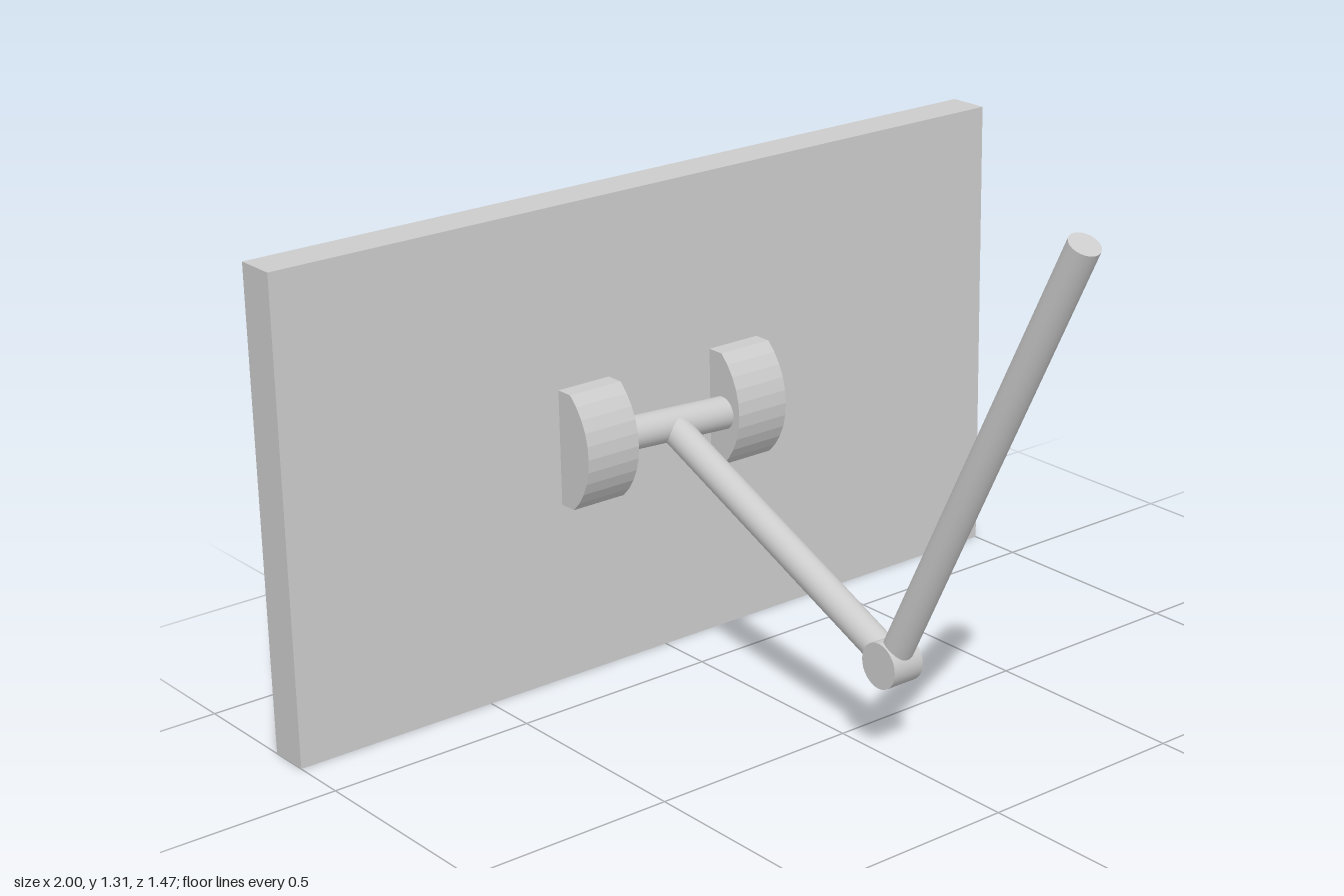
import * as THREE from 'three';

export function createModel() {
  const model = new THREE.Group();
  const smooth = new THREE.MeshStandardMaterial({ color: 0xcccccc });
  const flat = new THREE.MeshStandardMaterial({ color: 0xcccccc, flatShading: true });

  const add = (name, geometry, material = smooth) => {
    const mesh = new THREE.Mesh(geometry, material);
    mesh.name = name;
    model.add(mesh);
    return mesh;
  };
  // Capped rod between two points
  const rod = (name, a, b, radius) => {
    const from = new THREE.Vector3(...a), to = new THREE.Vector3(...b);
    const dir = to.clone().sub(from);
    const mesh = add(name, new THREE.CylinderGeometry(radius, radius, dir.length(), 32));
    mesh.position.copy(from).lerp(to, 0.5);
    mesh.quaternion.setFromUnitVectors(new THREE.Vector3(0, 1, 0), dir.normalize());
  };

  // Panel as rectangular loops: front edge, back edge, then a sloping rim down to a sunken back
  const height = 1.127, zFront = -0.636, zBack = -0.735, rim = 0.02, recess = 0.018;
  const loops = [[0, zFront], [0, zBack], [rim, zBack + recess]];
  const points = [], faces = [0, 1, 2, 0, 2, 3];
  loops.forEach(([inset, z], k) => {
    const w = 1 - inset, h = height / 2 - inset;
    for (const [sx, sy] of [[-1, -1], [1, -1], [1, 1], [-1, 1]]) points.push(sx * w, sy * h, z);
    if (k === 0) return;
    for (let i = 0; i < 4; i++) {
      const a = 4 * (k - 1) + i, b = 4 * (k - 1) + (i + 1) % 4;
      faces.push(a, a + 4, b + 4, a, b + 4, b);
    }
  });
  faces.push(8, 10, 9, 8, 11, 10);
  const indexed = new THREE.BufferGeometry();
  indexed.setAttribute('position', new THREE.Float32BufferAttribute(points, 3));
  indexed.setIndex(faces);
  const panel = indexed.toNonIndexed();
  panel.computeVertexNormals();
  add('panel', panel, flat).position.y = height / 2;

  // Pair of mounts with rounded fronts; profile is drawn as (z, y)
  const midY = 0.565, halfH = 0.137, arcR = 0.182, arcZ = -0.53 - arcR;
  const sweep = Math.asin(halfH / arcR);
  const profile = new THREE.Shape();
  profile.moveTo(zFront, midY - halfH);
  const steps = 10;
  for (let i = 0; i <= steps; i++) {
    const t = sweep * (2 * i / steps - 1);
    profile.lineTo(arcZ + arcR * Math.cos(t), midY + arcR * Math.sin(t));
  }
  profile.lineTo(zFront, midY + halfH);
  const mountW = 0.14;
  for (const [name, x] of [['leftMount', 0.215], ['rightMount', -0.215]]) {
    const g = new THREE.ExtrudeGeometry(profile, { depth: mountW, bevelEnabled: false });
    g.translate(0, 0, -mountW / 2).rotateY(-Math.PI / 2);
    add(name, g, flat).position.x = x;
  }

  // Slightly tilted bar between the mounts
  rod('crossBar', [-0.16, 0.575, -0.59], [0.16, 0.557, -0.59], 0.039);

  // Folding arm and its pivot
  const pivot = [0, 0.233, 0.163];
  rod('lowerArm', pivot, [-0.005, 0.56, -0.58], 0.036);
  rod('upperArm', pivot, [0, 1.299, 0.707], 0.035);
  rod('pivotJoint', [-0.04, 0.233, 0.163], [0.04, 0.233, 0.163], 0.053);

  return model;
}
